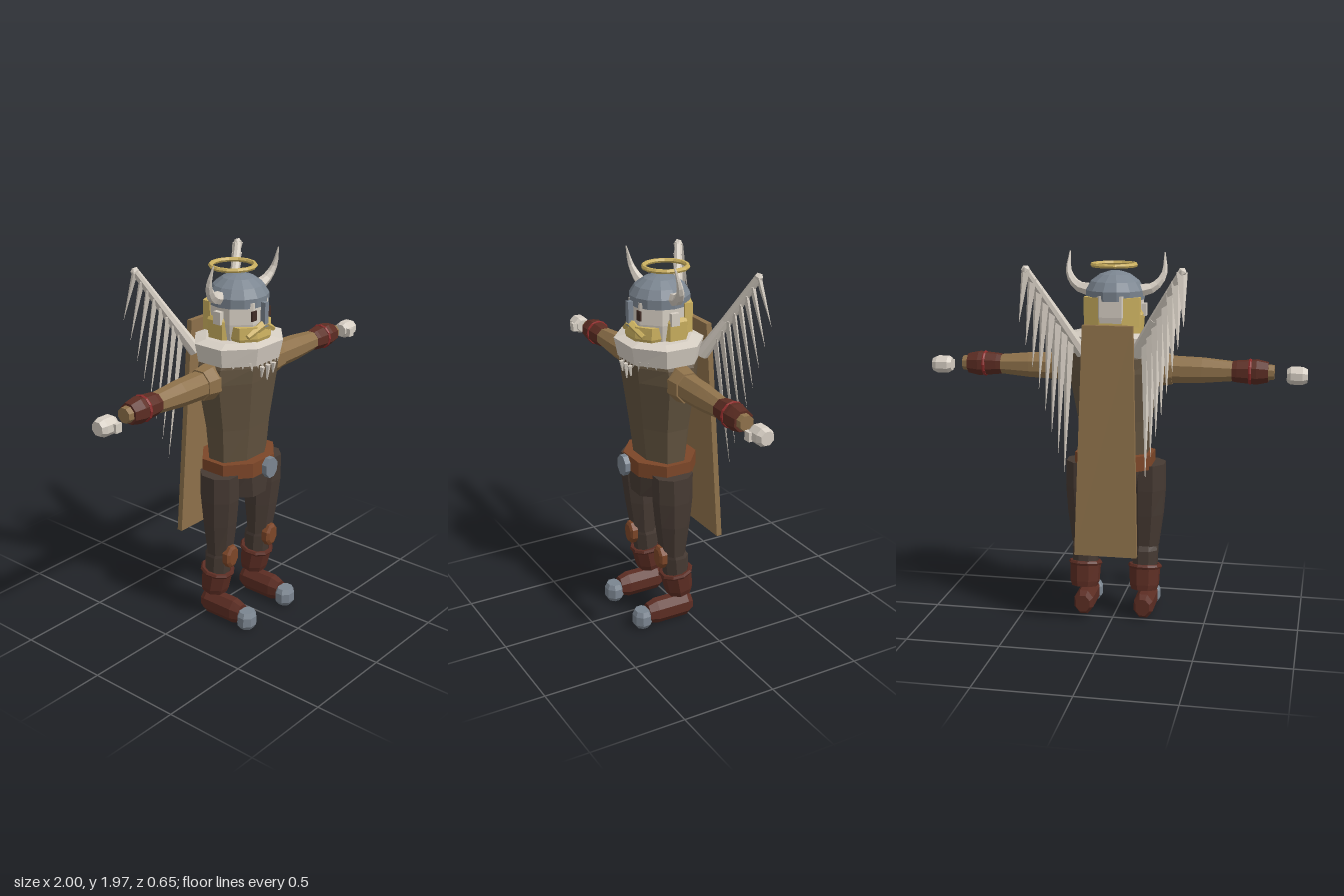
import * as THREE from 'three';

const mat = (name, color) => Object.assign(new THREE.MeshStandardMaterial({ color }), { name });
const bone = mat('bone', 0xd6cec3);
const steel = mat('steel', 0x7b8590);
const gold = mat('gold', 0xccb160);
const tunic = mat('tunic', 0x62533f);
const tan = mat('tan', 0x8f724b);
const trousers = mat('trousers', 0x463a33);
const leather = mat('leather', 0x7c4628);
const boot = mat('boot', 0x5c2d23);
const red = mat('red', 0x8c2b2a);
const dark = mat('dark', 0x412d27);

const V = (x, y, z) => new THREE.Vector3(x, y, z);

export function createModel() {
  const model = new THREE.Group();
  model.name = 'hornedWarrior';

  // Adds a faceted mesh
  function add(name, geometry, material, x = 0, y = 0, z = 0) {
    const g = geometry.index ? geometry.toNonIndexed() : geometry;
    g.computeVertexNormals();
    const mesh = new THREE.Mesh(g, material);
    mesh.name = name;
    mesh.position.set(x, y, z);
    model.add(mesh);
    return mesh;
  }

  // Closed loft along y; rows are [y, halfWidth, halfDepth, centreX, centreZ]
  function loft(rows, n = 8) {
    const pos = [], idx = [], k = 1 / Math.cos(Math.PI / n);
    for (const [y, rx, rz, cx = 0, cz = 0] of rows) {
      for (let j = 0; j < n; j++) {
        const a = ((j + 0.5) / n) * Math.PI * 2;
        pos.push(cx + Math.sin(a) * rx * k, y, cz + Math.cos(a) * rz * k);
      }
    }
    const last = (rows.length - 1) * n;
    for (let j = 0; j < n; j++) {
      const m = (j + 1) % n;
      for (let i = 0; i < last; i += n) idx.push(i + j, i + m, i + n + m, i + j, i + n + m, i + n + j);
      if (j > 0 && j < n - 1) idx.push(0, m, j, last, last + j, last + m);
    }
    const g = new THREE.BufferGeometry();
    g.setAttribute('position', new THREE.Float32BufferAttribute(pos, 3));
    g.setIndex(idx);
    return g;
  }

  // Tapered rod or spike between two points
  function rod(name, a, b, r0, r1, material, sides = 6, flat = 1) {
    const g = new THREE.CylinderGeometry(r1, r0, a.distanceTo(b), sides).scale(1, 1, flat);
    const mesh = add(name, g, material);
    mesh.position.copy(a).lerp(b, 0.5);
    mesh.quaternion.setFromUnitVectors(V(0, 1, 0), b.clone().sub(a).normalize());
    return mesh;
  }

  // Curved horn: a tube whose rings shrink towards the tip
  function horn(points, r0, r1) {
    const curve = new THREE.CatmullRomCurve3(points), T = 8, R = 6;
    const g = new THREE.TubeGeometry(curve, T, 1, R), p = g.attributes.position, v = V(0, 0, 0);
    for (let i = 0; i <= T; i++) {
      const c = curve.getPointAt(i / T), r = r0 + (r1 - r0) * (i / T);
      for (let j = 0; j <= R; j++) {
        const q = i * (R + 1) + j;
        v.fromBufferAttribute(p, q).sub(c).multiplyScalar(r).add(c);
        p.setXYZ(q, v.x, v.y, v.z);
      }
    }
    return g;
  }

  // Torso, hips and belt
  add('torso', loft([[0.9, 0.175, 0.115], [1.1, 0.19, 0.137], [1.36, 0.237, 0.168],
    [1.44, 0.228, 0.175], [1.5, 0.2, 0.17]]), tunic, 0, 0, 0.08);
  add('hips', loft([[0.71, 0.125, 0.14], [0.87, 0.18, 0.145]]), trousers, 0, 0, 0.085);
  add('belt', loft([[0.84, 0.205, 0.17], [0.92, 0.205, 0.17]]), leather, 0, 0, 0.08);
  add('buckle', loft([[-0.015, 0.045, 0.053], [0.015, 0.045, 0.053]]).rotateX(Math.PI / 2), steel, 0, 0.885, 0.29);

  // Fur collar with fringe and tooth necklace
  add('collar', loft([[1.455, 0.222, 0.188], [1.55, 0.238, 0.206], [1.565, 0.18, 0.15]]), bone, 0, 0, 0.08);
  for (let i = -5; i <= 5; i++) {
    const x = i * 0.034, z = 0.262 - Math.max(0, Math.abs(x) - 0.09) * 0.9;
    rod('furTuft', V(x, 1.475, z), V(x, 1.435 - 0.012 * (i & 1), z), 0.02, 0, bone, 4, 0.5);
  }
  for (const i of [-1, 0, 1]) {
    const x = i * 0.045;
    rod('necklaceTooth', V(x, 1.44, 0.27), V(x, 1.385 - (i ? 0 : 0.025), 0.265), 0.014, 0.004, bone, 5);
  }

  // Head, hair and beard
  add('head', loft([[1.56, 0.125, 0.13], [1.65, 0.14, 0.145], [1.76, 0.14, 0.145]]), bone, 0, 0, 0.075);
  add('hair', loft([[1.53, 0.145, 0.105], [1.66, 0.153, 0.114], [1.68, 0.142, 0.11]]), gold, 0, 0, 0.05);
  add('backHair', loft([[1.6, 0.145, 0.055], [1.75, 0.145, 0.055]]), gold, 0, 0, -0.01);
  add('beard', loft([[1.52, 0.1, 0.075], [1.58, 0.125, 0.095], [1.64, 0.125, 0.09]]), gold, 0, 0, 0.15);
  for (const s of [-1, 1]) {
    rod('moustache', V(0, 1.645, 0.24), V(s * 0.1, 1.595, 0.22), 0.024, 0.014, gold, 5);
    add('eye', new THREE.BoxGeometry(0.036, 0.05, 0.009), dark, s * 0.055, 1.695, 0.222);
    add('ear', new THREE.BoxGeometry(0.03, 0.065, 0.045), bone, s * 0.15, 1.68, 0.075);
  }

  // Helmet with nose guard and horns
  add('helmet', loft([[1.732, 0.15, 0.15], [1.78, 0.152, 0.152], [1.825, 0.125, 0.125],
    [1.86, 0.078, 0.078], [1.876, 0.03, 0.03]], 14), steel, 0, 0, 0.075);
  add('noseGuard', new THREE.BoxGeometry(0.028, 0.125, 0.028), steel, 0, 1.697, 0.245);
  for (const s of [-1, 1]) {
    add('horn', horn([V(s * 0.12, 1.775, 0.07), V(s * 0.2, 1.795, 0.08), V(s * 0.25, 1.86, 0.1),
      V(s * 0.25, 1.97, 0.13)], 0.038, 0.003), bone);
  }

  // Halo
  add('halo', new THREE.TorusGeometry(0.112, 0.012, 6, 14).rotateX(Math.PI / 2), gold, 0, 1.91, 0.04);

  // Cape: a thin slab that widens and leans back downwards
  const cape = new THREE.BoxGeometry(1, 1.2, 0.03), cp = cape.attributes.position;
  for (let i = 0; i < cp.count; i++) {
    const top = cp.getY(i) > 0;
    cp.setX(i, cp.getX(i) * (top ? 0.26 : 0.33));
    cp.setZ(i, cp.getZ(i) + (top ? 0.03 : -0.03));
  }
  add('cape', cape, tan, 0, 1.02, -0.167);

  for (const s of [-1, 1]) {
    // Arms
    const along = (rows) => loft(rows).rotateZ(-s * Math.PI / 2);
    const arm = (name, rows, material) => add(name, along(rows), material, 0, 1.37, 0.08);
    arm('shoulder', [[0.16, 0.085, 0.075], [0.24, 0.085, 0.078], [0.305, 0.075, 0.07]], tan);
    arm('sleeve', [[0.29, 0.068, 0.064], [0.46, 0.063, 0.06], [0.64, 0.047, 0.047]], tan);
    arm('bracer', [[0.615, 0.05, 0.05], [0.64, 0.054, 0.054], [0.74, 0.062, 0.06], [0.8, 0.05, 0.05]], boot);
    arm('wrist', [[0.79, 0.04, 0.04], [0.83, 0.036, 0.036]], tan);
    add('bracerBand', new THREE.TorusGeometry(0.06, 0.009, 6, 12).rotateY(Math.PI / 2), red, s * 0.707, 1.37, 0.08);
    add('hand', along([[0.895, 0.032, 0.032], [0.915, 0.044, 0.045], [0.975, 0.044, 0.045], [1, 0.033, 0.033]]),
      bone, 0, 1.357, 0.08);
    add('thumb', new THREE.BoxGeometry(0.038, 0.045, 0.04), bone, s * 0.92, 1.352, 0.12);

    // Legs
    add('thigh', loft([[0.4, 0.07, 0.062, 0, -0.005], [0.58, 0.087, 0.085, s * 0.006, -0.002],
      [0.72, 0.092, 0.098, s * 0.01], [0.86, 0.09, 0.1, s * 0.01]]), trousers, s * 0.165, 0, 0.1);
    add('shin', loft([[0.25, 0.064, 0.062, 0, -0.02], [0.38, 0.068, 0.068, 0, -0.01], [0.41, 0.062, 0.058]]),
      trousers, s * 0.165, 0, 0.093);
    add('kneePad', loft([[-0.02, 0.047, 0.062], [0.01, 0.045, 0.06], [0.02, 0.03, 0.045]]).rotateX(Math.PI / 2),
      leather, s * 0.165, 0.39, 0.17);

    // Boots
    const cuff = add('bootCuff', loft([[-0.065, 0.066, 0.064], [-0.035, 0.076, 0.07], [0.065, 0.08, 0.077]]),
      boot, s * 0.165, 0.22, 0.065);
    const band = add('bootBand', new THREE.TorusGeometry(0.08, 0.014, 6, 10).rotateX(Math.PI / 2),
      boot, s * 0.165, 0.284, 0.076);
    cuff.rotation.x = band.rotation.x = 0.18;
    add('foot', loft([[-0.012, 0.038, 0.045], [0.02, 0.052, 0.066], [0.2, 0.052, 0.066], [0.25, 0.04, 0.05]])
      .rotateX(Math.PI / 2), boot, s * 0.165, 0.07, 0);
    add('toeCap', loft([[0, 0.035, 0.033], [0.025, 0.053, 0.048], [0.075, 0.053, 0.048], [0.1, 0.04, 0.036]]),
      steel, s * 0.165, 0, 0.28);

    // Wings: a jointed arm bone with hanging feathers
    const root = V(s * 0.14, 1.47, -0.09), elbow = V(s * 0.245, 1.66, -0.17), tip = V(s * 0.39, 1.905, -0.255);
    rod('wingBase', root, elbow, 0.036, 0.028, bone, 8);
    rod('wingArm', elbow, tip, 0.028, 0.02, bone, 8);
    add('wingKnuckle', new THREE.IcosahedronGeometry(0.024, 0), bone, tip.x, tip.y, tip.z);
    for (let i = 0; i < 8; i++) {
      const t = i / 7;
      const a = V(s * 0.2, 1.57, -0.13).lerp(tip, t);
      const b = V(s * 0.21, 0.86, -0.225).lerp(V(s * 0.41, 1.65, -0.325), t);
      rod('feather', a, b, 0.03, 0.001, bone, 4, 0.5);
    }
  }
  return model;
}
